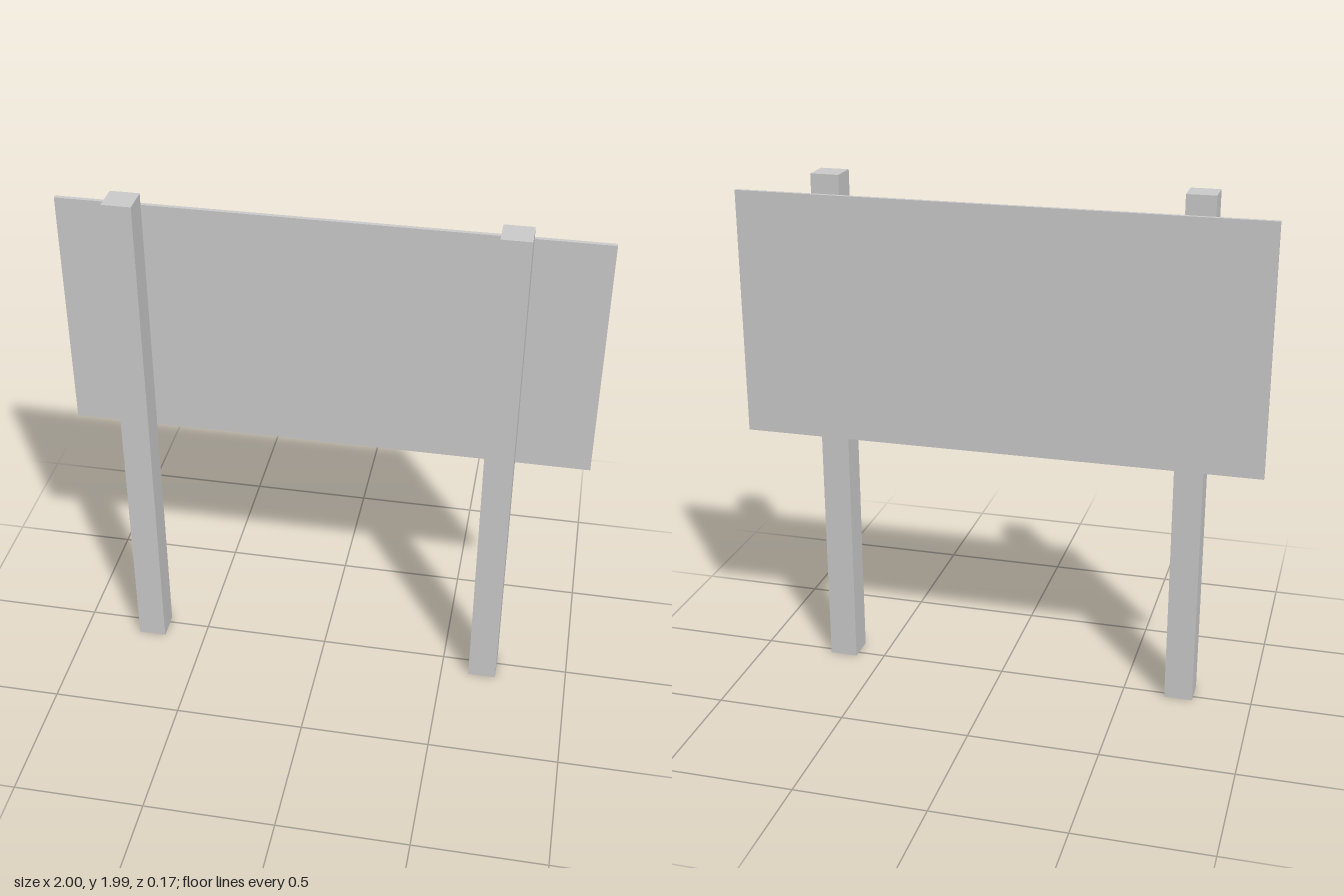
import * as THREE from 'three';

const material = new THREE.MeshStandardMaterial({ color: 0xcccccc, flatShading: true });

// Box given by its size and its centre
function addBox(group, name, size, centre) {
  const mesh = new THREE.Mesh(new THREE.BoxGeometry(...size), material);
  mesh.name = name;
  mesh.position.set(...centre);
  group.add(mesh);
}

export function createModel() {
  const model = new THREE.Group();
  model.name = 'signboard';

  // Two square posts, slightly off centre
  const postHeight = 1.987;
  for (const [name, x] of [['rightPost', -0.72], ['leftPost', 0.665]]) {
    addBox(model, name, [0.109, postHeight, 0.111], [x, postHeight / 2, 0.027]);
  }

  // Thin panel standing just behind the posts
  addBox(model, 'panel', [2, 0.946, 0.016], [0, 1.449, -0.0745]);

  return model;
}
